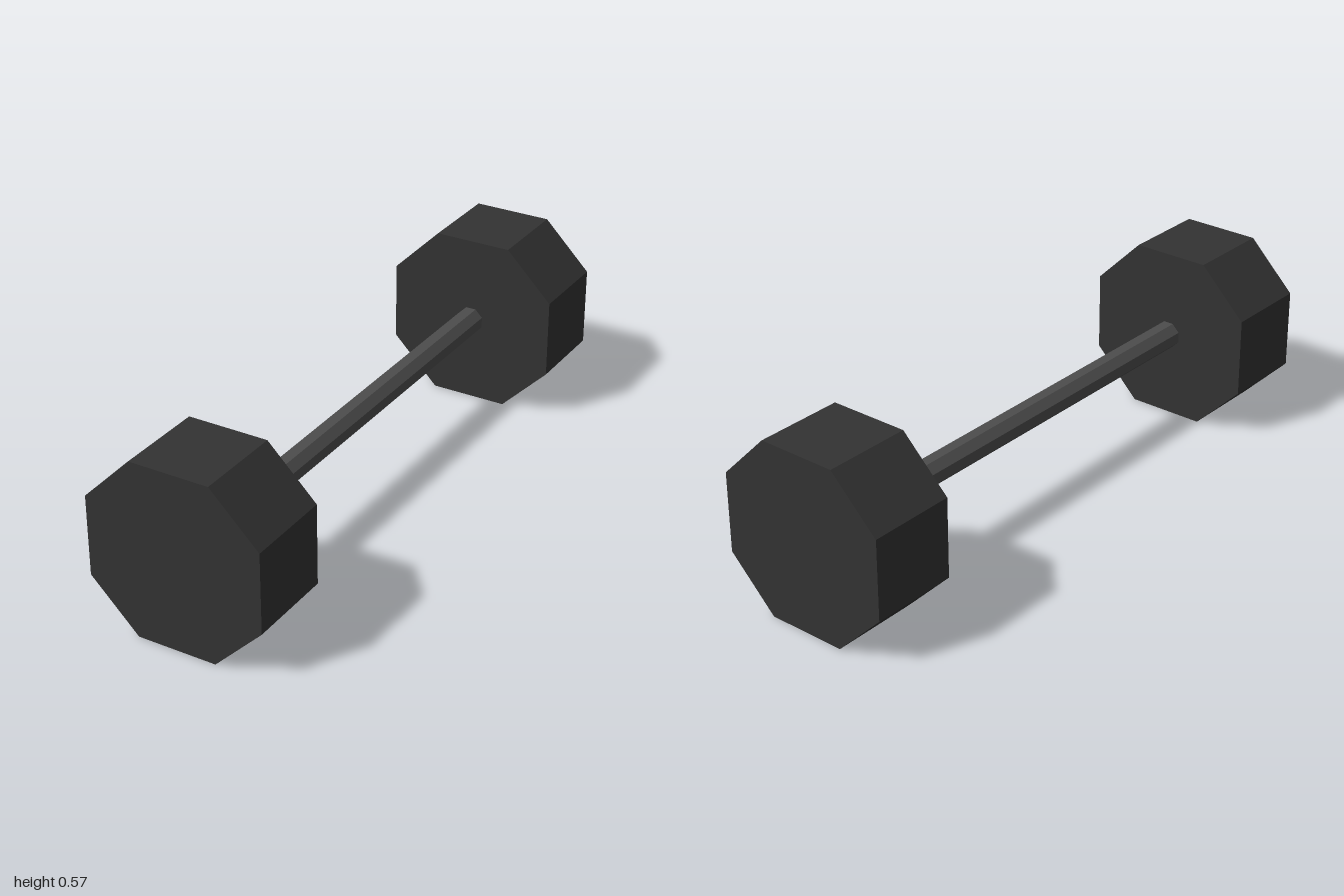
import * as THREE from 'three';

const CENTER_Y = 0.285;   // height of the bar axis
const HEAD_R = 0.285;     // half width of a head
const HEAD_EDGE = 0.129;  // half length of the head's straight sides
const HEAD_INNER = 0.715; // z where a head begins
const HEAD_DEPTH = 0.285;
const BAR_APOTHEM = 0.042;

// Eight-sided outline with flats at top, bottom, left and right
function octagon(r, e) {
  return new THREE.Shape([
    [r, -e], [r, e], [e, r], [-e, r], [-r, e], [-r, -e], [-e, -r], [e, -r],
  ].map(([x, y]) => new THREE.Vector2(x, y)));
}

// Octagonal prism running along z from z0
function prism(name, shape, z0, depth, material) {
  const geometry = new THREE.ExtrudeGeometry(shape, { depth, bevelEnabled: false });
  const mesh = new THREE.Mesh(geometry, material);
  mesh.name = name;
  mesh.position.set(0, CENTER_Y, z0);
  return mesh;
}

export function createModel() {
  const model = new THREE.Group();
  model.name = 'dumbbell';

  const headMaterial = new THREE.MeshStandardMaterial({ color: 0x333333, flatShading: true });
  const barMaterial = new THREE.MeshStandardMaterial({ color: 0x4d4d4d, flatShading: true });

  // Weights at both ends
  const headShape = octagon(HEAD_R, HEAD_EDGE);
  model.add(prism('frontHead', headShape, HEAD_INNER, HEAD_DEPTH, headMaterial));
  model.add(prism('backHead', headShape, -HEAD_INNER - HEAD_DEPTH, HEAD_DEPTH, headMaterial));

  // Grip bar between the weights
  const barShape = octagon(BAR_APOTHEM, BAR_APOTHEM * Math.tan(Math.PI / 8));
  model.add(prism('handle', barShape, -HEAD_INNER, HEAD_INNER * 2, barMaterial));

  return model;
}
